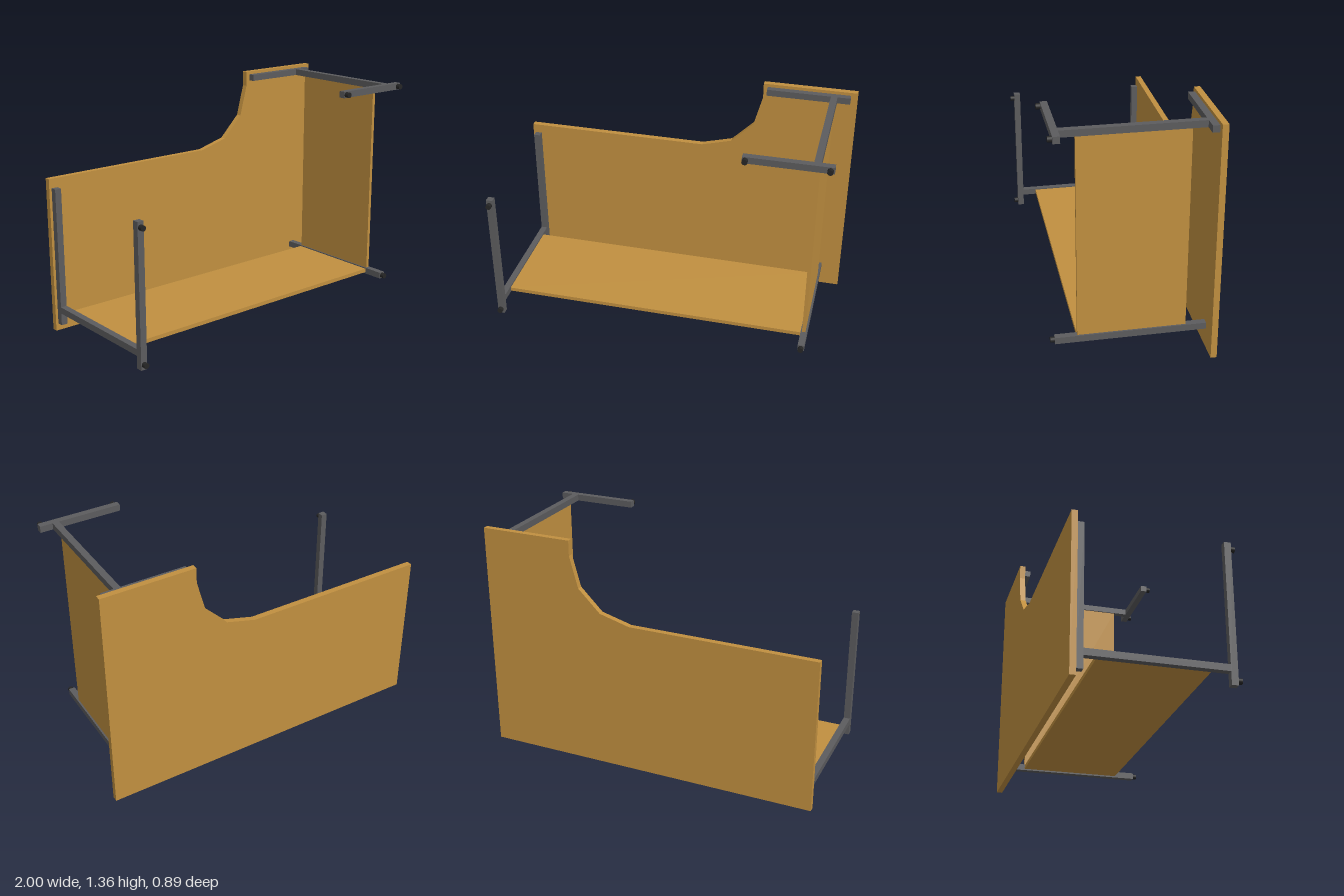
import * as THREE from 'three';

export function createModel() {
  const model = new THREE.Group();
  const wood = new THREE.MeshStandardMaterial({ color: 0xc19040 });
  const metal = new THREE.MeshStandardMaterial({ color: 0x5c5c5e });
  const rubber = new THREE.MeshStandardMaterial({ color: 0x262626 });

  const add = (name, geometry, material) => {
    const mesh = new THREE.Mesh(geometry, material);
    mesh.name = name;
    model.add(mesh);
    return mesh;
  };
  // Box given by its lower and upper limits on each axis
  const box = (name, material, [x0, x1], [y0, y1], [z0, z1]) =>
    add(name, new THREE.BoxGeometry(x1 - x0, y1 - y0, z1 - z0), material)
      .position.set((x0 + x1) / 2, (y0 + y1) / 2, (z0 + z1) / 2);

  // L-shaped desktop with a faceted inner corner, standing on its long edge
  const outline = [
    [-1, 0], [1, 0], [1, 1.364], [0.455, 1.364], [0.455, 1.275],
    [0.405, 1.09], [0.275, 0.96], [0.095, 0.911], [-1, 0.911],
  ].map(([x, y]) => new THREE.Vector2(x, y));
  const top = new THREE.ExtrudeGeometry(new THREE.Shape(outline), { depth: 0.034, bevelEnabled: false });
  add('desktop', top, wood).position.z = -0.444;

  // Modesty panels between the legs
  box('longPanel', wood, [-0.945, 0.852], [0.124, 0.147], [-0.296, 0.3]);
  box('shortPanel', wood, [0.858, 0.878], [0.15, 1.31], [-0.296, 0.3]);

  const supportZ = [-0.41, -0.372];
  const footZ = [0.384, 0.422];
  const postZ = [-0.372, 0.384];

  // End leg of the long wing
  const endX = [-0.985, -0.947];
  box('longWingSupport', metal, endX, [0.042, 0.856], supportZ);
  box('longWingFoot', metal, endX, [0.042, 0.856], footZ);
  box('longWingPost', metal, endX, [0.115, 0.153], postZ);

  // End leg of the short wing
  const endY = [1.308, 1.346];
  box('shortWingSupport', metal, [0.48, 0.962], endY, supportZ);
  box('shortWingFoot', metal, [0.48, 0.962], endY, footZ);
  box('shortWingPost', metal, [0.85, 0.888], endY, postZ);

  // Corner leg
  box('cornerPost', metal, [0.85, 0.888], [0.115, 0.153], [-0.41, 0.422]);

  // Levelling glides under the feet
  for (const [x, y] of [[-0.966, 0.072], [-0.966, 0.824], [0.498, 1.327], [0.94, 1.327], [0.869, 0.134]]) {
    const glide = add('glide', new THREE.CylinderGeometry(0.016, 0.016, 0.026, 16), rubber);
    glide.rotation.x = Math.PI / 2;
    glide.position.set(x, y, 0.433);
  }
  return model;
}
